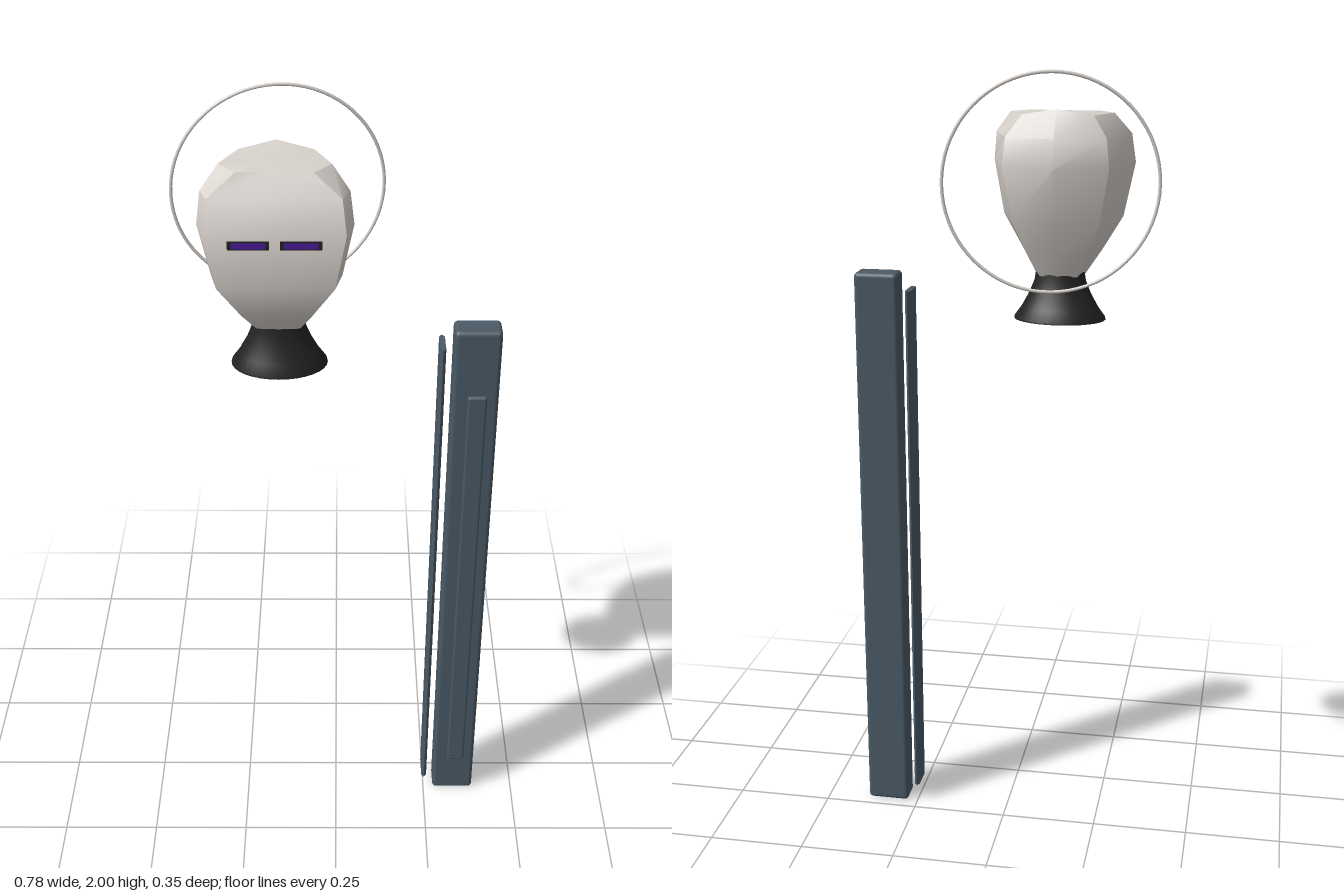
import * as THREE from 'three';
import { toCreasedNormals } from 'three/addons/utils/BufferGeometryUtils.js';
import { RoundedBoxGeometry } from 'three/addons/geometries/RoundedBoxGeometry.js';

const paint = (name, color) => {
  const m = new THREE.MeshStandardMaterial({ color });
  m.name = name;
  return m;
};

// Head shell: each row is y followed by half outline points [x, z], front centre to back centre
function headGeometry() {
  const rows = [
    [1.5, [0, 0.1], [0.05, 0.095], [0.06, 0.06], [0.045, 0.02], [0, 0.01]],
    [1.56, [0, 0.147], [0.08, 0.145], [0.1, 0.09], [0.075, -0.005], [0, -0.018]],
    [1.64, [0, 0.168], [0.132, 0.168], [0.148, 0.1], [0.105, -0.03], [0, -0.055]],
    [1.77, [0, 0.17], [0.157, 0.17], [0.174, 0.11], [0.127, -0.055], [0, -0.097]],
    [1.84, [0, 0.14], [0.148, 0.135], [0.165, 0.09], [0.12, -0.047], [0, -0.083]],
    [1.89, [0, 0.103], [0.085, 0.107], [0.125, 0.06], [0.085, -0.02], [0, -0.04]],
  ];
  const n = 8;
  const pos = [];
  const index = [];
  rows.forEach(([y, ...half], r) => {
    const mirrored = half.slice(1, -1).reverse().map(([x, z]) => [-x, z]);
    [...half, ...mirrored].forEach(([x, z], i) => {
      // crown rises slightly at the back centre
      const lift = r === rows.length - 1 && i === 4 ? 0.015 : 0;
      pos.push(x, y + lift, z);
    });
  });
  const last = (rows.length - 1) * n;
  const bottom = rows.length * n;
  pos.push(0, 1.5, 0.055, 0, 1.895, 0.03);
  for (let i = 0; i < n; i++) {
    const j = (i + 1) % n;
    for (let k = 0; k < last; k += n) {
      index.push(k + i, k + j, k + n + j, k + i, k + n + j, k + n + i);
    }
    index.push(bottom, j, i, bottom + 1, last + i, last + j);
  }
  const g = new THREE.BufferGeometry();
  g.setAttribute('position', new THREE.Float32BufferAttribute(pos, 3));
  g.setIndex(index);
  return toCreasedNormals(g, 0.6);
}

export function createModel() {
  const model = new THREE.Group();
  const shell = paint('pale shell', 0xd8d2cc);
  const black = paint('black', 0x222222);
  const steel = paint('blue steel', 0x4a5a66);
  const violet = paint('violet glow', 0x4a1a96);

  const add = (name, geometry, material, x = 0, y = 0, z = 0, parent = model) => {
    const mesh = new THREE.Mesh(geometry, material);
    mesh.name = name;
    mesh.position.set(x, y, z);
    parent.add(mesh);
    return mesh;
  };

  // Head, neck and halo share the same centre line
  const bust = new THREE.Group();
  bust.name = 'bust';
  bust.position.x = -0.133;
  model.add(bust);
  add('head', headGeometry(), shell, 0, 0, 0, bust);

  for (const side of [-1, 1]) {
    const name = side > 0 ? 'left' : 'right';
    add(name + 'EyeFrame', new THREE.BoxGeometry(0.092, 0.021, 0.004), black, side * 0.058, 1.747, 0.17, bust);
    add(name + 'Eye', new THREE.BoxGeometry(0.076, 0.013, 0.004), violet, side * 0.058, 1.747, 0.1715, bust);
  }

  // Flared oval neck
  const profile = [[0, 1.39], [0.114, 1.39], [0.113, 1.395], [0.095, 1.42], [0.076, 1.455], [0.064, 1.485], [0.06, 1.51], [0, 1.51]]
    .map(([r, y]) => new THREE.Vector2(r, y));
  const neckGeometry = new THREE.LatheGeometry(profile, 32);
  neckGeometry.scale(1, 1, 0.75);
  add('neck', toCreasedNormals(neckGeometry, 0.7), black, 0, 0, 0.055, bust);

  // Thin halo turned slightly behind the head
  const halo = add('halo', new THREE.TorusGeometry(0.251, 0.004, 8, 72), shell, -0.002, 1.745, -0.136, bust);
  halo.rotation.y = 0.142;

  // Upright bar with a raised front strip
  add('bar', new RoundedBoxGeometry(0.112, 1.49, 0.068, 3, 0.011), steel, 0.332, 0.745, 0.063);
  add('frontStrip', new RoundedBoxGeometry(0.046, 1.19, 0.014, 3, 0.006), steel, 0.334, 0.737, 0.121);

  // Side blade with bevelled front and back edges
  const section = new THREE.Shape([[-0.007, -0.03], [0, -0.039], [0.007, -0.03], [0.007, 0.03], [0, 0.039], [-0.007, 0.03]]
    .map(([x, y]) => new THREE.Vector2(x, y)));
  const bladeGeometry = new THREE.ExtrudeGeometry(section, { depth: 1.395, bevelEnabled: false });
  bladeGeometry.rotateX(-Math.PI / 2);
  add('sideBlade', bladeGeometry, steel, 0.25, 0.052, 0.067);

  return model;
}
